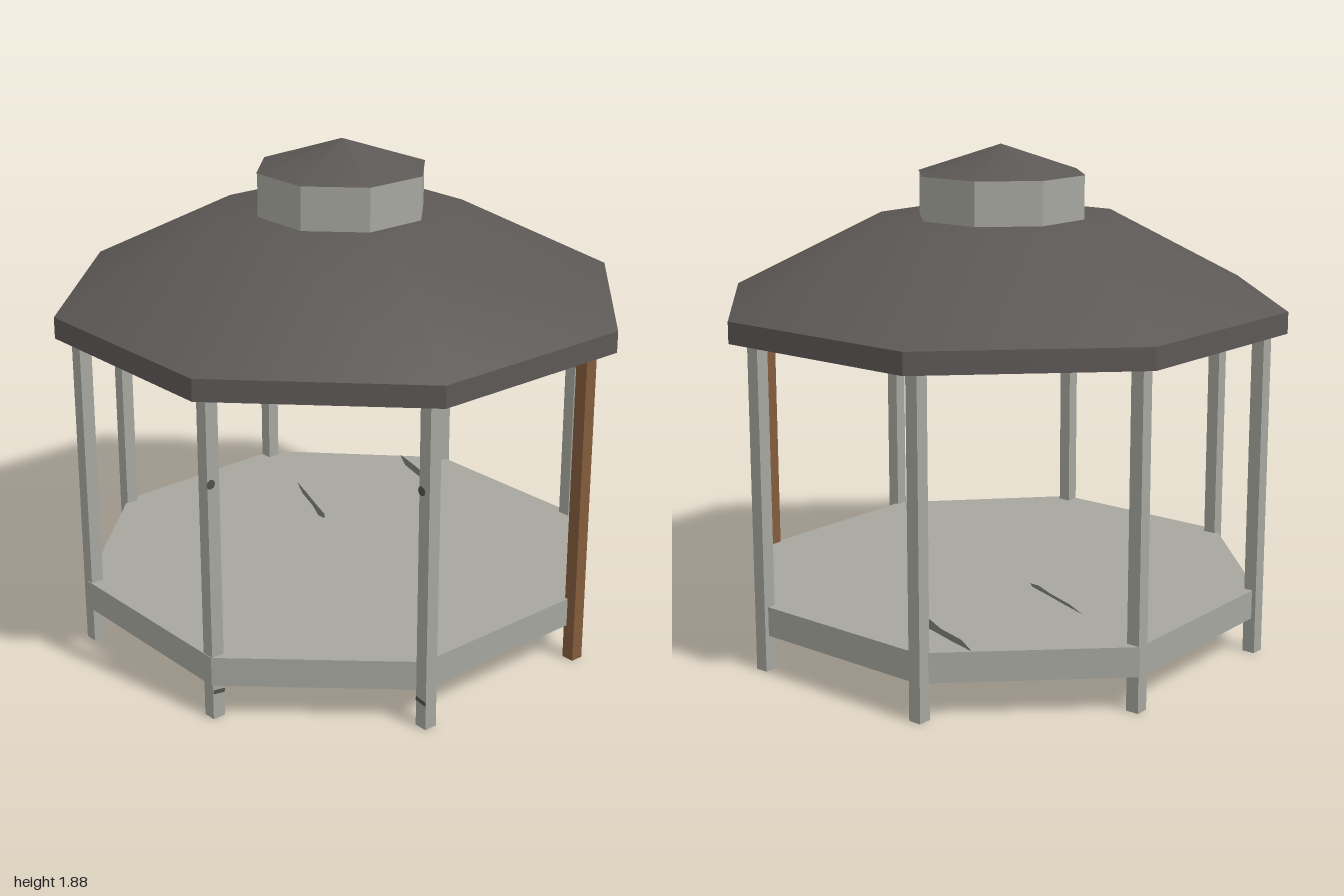
import * as THREE from 'three';

const mat = (name, color) => {
  const m = new THREE.MeshStandardMaterial({ color });
  m.name = name;
  return m;
};

export function createModel() {
  const group = new THREE.Group();
  const stone = mat('paleGrey', 0xa6a69f);
  const slate = mat('slateGrey', 0x5c5856);
  const wood = mat('brownWood', 0x825b3b);
  const crackMat = mat('darkCrack', 0x50504c);

  const add = (name, geometry, material, x = 0, y = 0, z = 0) => {
    const mesh = new THREE.Mesh(geometry, material);
    mesh.name = name;
    mesh.position.set(x, y, z);
    group.add(mesh);
    return mesh;
  };

  // Octagonal helpers; sizes are measured to the middle of a flat side
  const K = 1 / Math.cos(Math.PI / 8);
  const smoothOctagon = (profile) => new THREE.LatheGeometry(
    profile.map(([r, y]) => new THREE.Vector2(r * K, y)), 8, Math.PI / 8);
  const facetedOctagon = (profile) => {
    const g = smoothOctagon(profile).toNonIndexed();
    g.computeVertexNormals();
    return g;
  };

  // Main roof: faceted fascia, smooth slope, and an inner ceiling
  add('roofFascia', facetedOctagon([[1, 1.225], [1, 1.305]]), slate);
  add('roofSlope', smoothOctagon([[1, 1.305], [0.44, 1.61], [0, 1.61]]), slate);
  add('ceiling', smoothOctagon([[0, 1.57], [0.42, 1.57], [1, 1.225]]), stone);

  // Cupola
  add('cupolaWall', facetedOctagon([[0.297, 1.6], [0.297, 1.773]]), stone);
  add('cupolaRoof', smoothOctagon([[0.3, 1.773], [0, 1.88]]), slate);
  add('cupolaEave', facetedOctagon([[0.29, 1.772], [0.3, 1.773]]), slate);

  // Floor slab, slightly off centre (shape y becomes -z)
  const outline = [[-0.385, 0.935], [0.39, 0.935], [0.895, 0.39], [0.895, -0.385],
    [0.38, -0.915], [-0.385, -0.915], [-0.935, -0.385], [-0.915, 0.39]];
  const slab = new THREE.ExtrudeGeometry(
    new THREE.Shape(outline.map(([x, z]) => new THREE.Vector2(x, -z))),
    { depth: 0.11, bevelEnabled: false });
  slab.rotateX(-Math.PI / 2);
  add('floor', slab, stone, 0, 0.135, 0);

  // Eight posts, one of them in bare wood
  const postGeo = new THREE.BoxGeometry(0.05, 1.24, 0.05);
  for (const s of [-1, 1]) {
    for (const z of [0.39, -0.362]) {
      const bare = s > 0 && z < 0;
      add(bare ? 'woodPost' : 'post', postGeo, bare ? wood : stone, s * 0.907, 0.62, z);
    }
    for (const x of [-0.388, 0.368]) add('post', postGeo, stone, x, 0.62, s * 0.907);
  }

  // Thin tapering cracks in the floor
  const crack = (x1, z1, x2, z2, w) => {
    const len = Math.hypot(x2 - x1, z2 - z1);
    const s = new THREE.Shape([[0, 0], [0.3, -0.5], [0.65, -0.35], [0.9, -0.6], [1, 0],
      [0.9, 0.5], [0.6, 0.3], [0.3, 0.2]].map(([u, v]) => new THREE.Vector2(u * len, v * w)));
    const g = new THREE.ShapeGeometry(s);
    g.rotateX(-Math.PI / 2);
    add('floorCrack', g, crackMat, x1, 0.248, z1).rotation.y = -Math.atan2(z2 - z1, x2 - x1);
  };
  crack(-0.59, -0.255, -0.23, -0.105, 0.025);
  crack(-0.525, -0.79, -0.16, -0.66, 0.05);

  // Small chips on the outer posts
  const chipGeo = new THREE.CircleGeometry(0.018, 8);
  const scratchGeo = new THREE.PlaneGeometry(0.05, 0.016);
  for (const s of [-1, 1]) {
    add('postChip', chipGeo, crackMat, s * 0.907 - 0.012, 0.9, 0.417);
    add('postScratch', scratchGeo, crackMat, s * 0.907, 0.105, 0.417).rotation.z = -0.15;
    add('postChip', chipGeo, crackMat, 0.395, 0.9, s * 0.907 + 0.012).rotation.y = Math.PI / 2;
    add('postScratch', scratchGeo, crackMat, 0.395, 0.105, s * 0.907).rotation.set(0, Math.PI / 2, -0.15);
  }
  return group;
}
